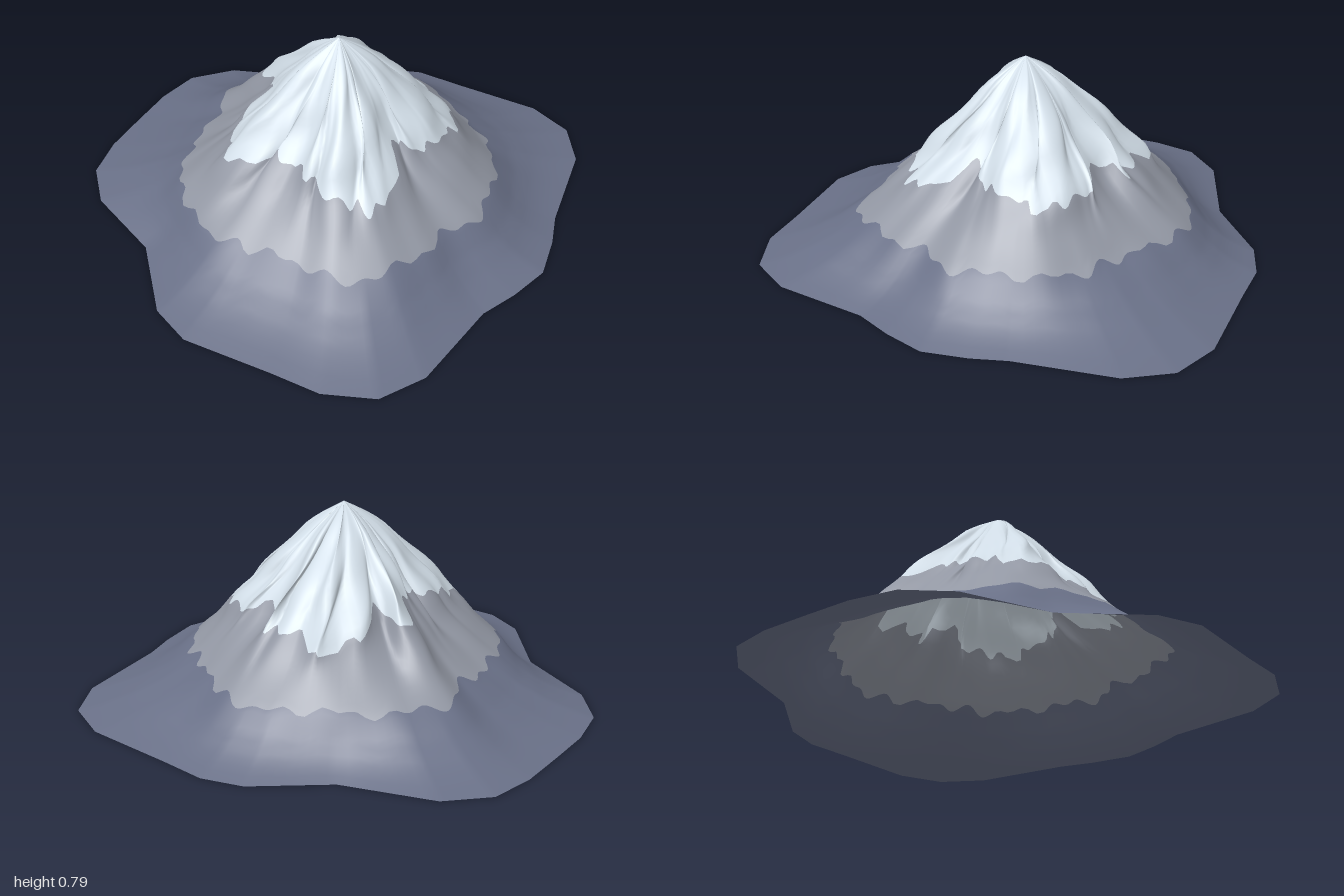
import * as THREE from 'three';

const PEAK = { x: -0.04, y: 0.79, z: 0.07 };
const LOW = 0.18, MID = 0.4; // heights of the two measured contours

// Foot of the mountain on the ground, as x, z pairs
const FOOT = [
  [0.05, -0.99], [0.23, -0.9], [0.46, -0.6], [0.74, -0.42], [0.84, -0.28], [0.89, -0.1], [1, 0.26],
  [0.98, 0.46], [0.85, 0.61], [0.49, 0.78], [0.37, 0.86], [0.21, 0.94], [0.04, 0.94], [-0.12, 0.92],
  [-0.5, 0.98], [-0.69, 0.93], [-0.82, 0.77], [-0.88, 0.58], [-1, 0.24], [-0.98, 0.06], [-0.8, -0.24],
  [-0.76, -0.59], [-0.66, -0.76], [-0.5, -0.85], [-0.32, -0.91], [-0.13, -0.97],
];
// Values every 15 degrees, from +x towards +z: contour radii, and height of the snow line
const LOW_RADIUS = [0.63, 0.6, 0.61, 0.63, 0.63, 0.62, 0.58, 0.62, 0.66, 0.66, 0.6, 0.6,
  0.63, 0.64, 0.65, 0.62, 0.59, 0.6, 0.68, 0.66, 0.64, 0.64, 0.66, 0.67];
const MID_RADIUS = [0.36, 0.41, 0.42, 0.44, 0.41, 0.36, 0.31, 0.37, 0.41, 0.41, 0.37, 0.34,
  0.35, 0.45, 0.43, 0.38, 0.34, 0.35, 0.45, 0.37, 0.42, 0.47, 0.41, 0.43];
const SNOW = [0.43, 0.38, 0.38, 0.36, 0.4, 0.4, 0.45, 0.35, 0.33, 0.36, 0.4, 0.41,
  0.42, 0.37, 0.38, 0.43, 0.46, 0.47, 0.41, 0.46, 0.38, 0.34, 0.39, 0.38];
// Profiles: [height, share of the middle radius] above, [height, share of the way to the foot] below
const UPPER = [[0.4, 1], [0.5, 0.78], [0.6, 0.56], [0.7, 0.32], [0.75, 0.16], [0.79, 0]];
const LOWER = [[0, 1], [0.02, 0.78], [0.05, 0.56], [0.1, 0.3], [0.18, 0]];

function lookUp(table, y) {
  let i = 1;
  while (i < table.length - 1 && table[i][0] < y) i++;
  const [y0, v0] = table[i - 1], [y1, v1] = table[i];
  return v0 + (v1 - v0) * THREE.MathUtils.clamp((y - y0) / (y1 - y0), 0, 1);
}

// Smoothly interpolated value of a table that runs around the mountain
function around(table, a) {
  const s = THREE.MathUtils.euclideanModulo(a / (Math.PI * 2), 1) * 24;
  const i = Math.floor(s);
  return THREE.MathUtils.lerp(table[i % 24], table[(i + 1) % 24], THREE.MathUtils.smoothstep(s - i, 0, 1));
}

const snowLine = (a) =>
  around(SNOW, a) + 0.012 * Math.sin(29 * a + 2 * Math.sin(3 * a)) + 0.008 * Math.sin(43 * a + 1);

const rockLine = (a) =>
  LOW + 0.009 * Math.sin(17 * a + 2 * Math.sin(2 * a)) + 0.009 * Math.sin(31 * a + 2) + 0.005 * Math.sin(7 * a + 1);

// One point of the slope: uneven gullies swirl slightly around the peak
function slopePoint(angle, foot, y) {
  const low = around(LOW_RADIUS, angle), mid = around(MID_RADIUS, angle);
  let r;
  if (y < LOW) r = low + (foot - low) * lookUp(LOWER, y);
  else if (y < MID) {
    const f = (y - LOW) / (MID - LOW);
    r = THREE.MathUtils.lerp(low, mid, f) - 0.05 * f * (1 - f);
  } else r = mid * lookUp(UPPER, y);

  const up = THREE.MathUtils.smoothstep(y, 0.2, 0.5);
  const t = angle + 0.4 * up * (y - 0.4);
  const gully = 0.6 * Math.abs(Math.sin(6.5 * t + 1.2 * Math.sin(2 * t) + 0.5 * Math.sin(5 * t)))
    + 0.4 * Math.abs(Math.sin(10.5 * t + 1 + 1.3 * Math.sin(3 * t)));
  r *= 1 + up * (0.13 * (gully - 0.62) + 0.025 * Math.sin(5 * angle + 31 * y));
  const a = angle + up * (0.05 * Math.sin(11 * t + Math.sin(2 * t)) + 0.03 * Math.sin(19 * t + 14 * y));
  return [PEAK.x + r * Math.cos(a), y, PEAK.z + r * Math.sin(a)];
}

export function createModel() {
  const group = new THREE.Group();
  group.name = 'mountain';
  const material = (name, color) => {
    const m = new THREE.MeshStandardMaterial({ color, side: THREE.DoubleSide });
    m.name = name;
    return m;
  };
  const materials = [
    material('slate foothills', 0x697087),
    material('grey rock', 0x9297a3),
    material('pale snow', 0xd0dce6),
  ];

  // Columns follow the foot outline
  const columns = [];
  const steps = 8;
  FOOT.forEach(([x0, z0], i) => {
    const [x1, z1] = FOOT[(i + 1) % FOOT.length];
    for (let k = 0; k < steps; k++) {
      const dx = THREE.MathUtils.lerp(x0, x1, k / steps) - PEAK.x;
      const dz = THREE.MathUtils.lerp(z0, z1, k / steps) - PEAK.z;
      columns.push({ angle: Math.atan2(dz, dx), foot: Math.hypot(dx, dz) });
    }
  });

  // Rows climb through the three colour bands, whose edges are the rock and snow lines
  const bandRows = [12, 10, 16];
  const positions = [], index = [];
  const geometry = new THREE.BufferGeometry();
  const n = columns.length;
  let row = 0;
  bandRows.forEach((rows, band) => {
    const start = index.length;
    for (let j = band ? 1 : 0; j <= rows; j++) {
      columns.forEach(({ angle, foot }, i) => {
        const levels = [0, rockLine(angle), snowLine(angle), PEAK.y];
        const y = THREE.MathUtils.lerp(levels[band], levels[band + 1], j / rows);
        positions.push(...slopePoint(angle, foot, y));
        if (j === 0) return;
        const a = (row - 1) * n + i, b = (row - 1) * n + (i + 1) % n;
        index.push(a, a + n, b, b, a + n, b + n);
      });
      row++;
    }
    geometry.addGroup(start, index.length - start, band);
  });
  geometry.setAttribute('position', new THREE.Float32BufferAttribute(positions, 3));
  geometry.setIndex(index);
  geometry.computeVertexNormals();

  const slopes = new THREE.Mesh(geometry, materials);
  slopes.name = 'mountainSlopes';
  group.add(slopes);
  return group;
}
